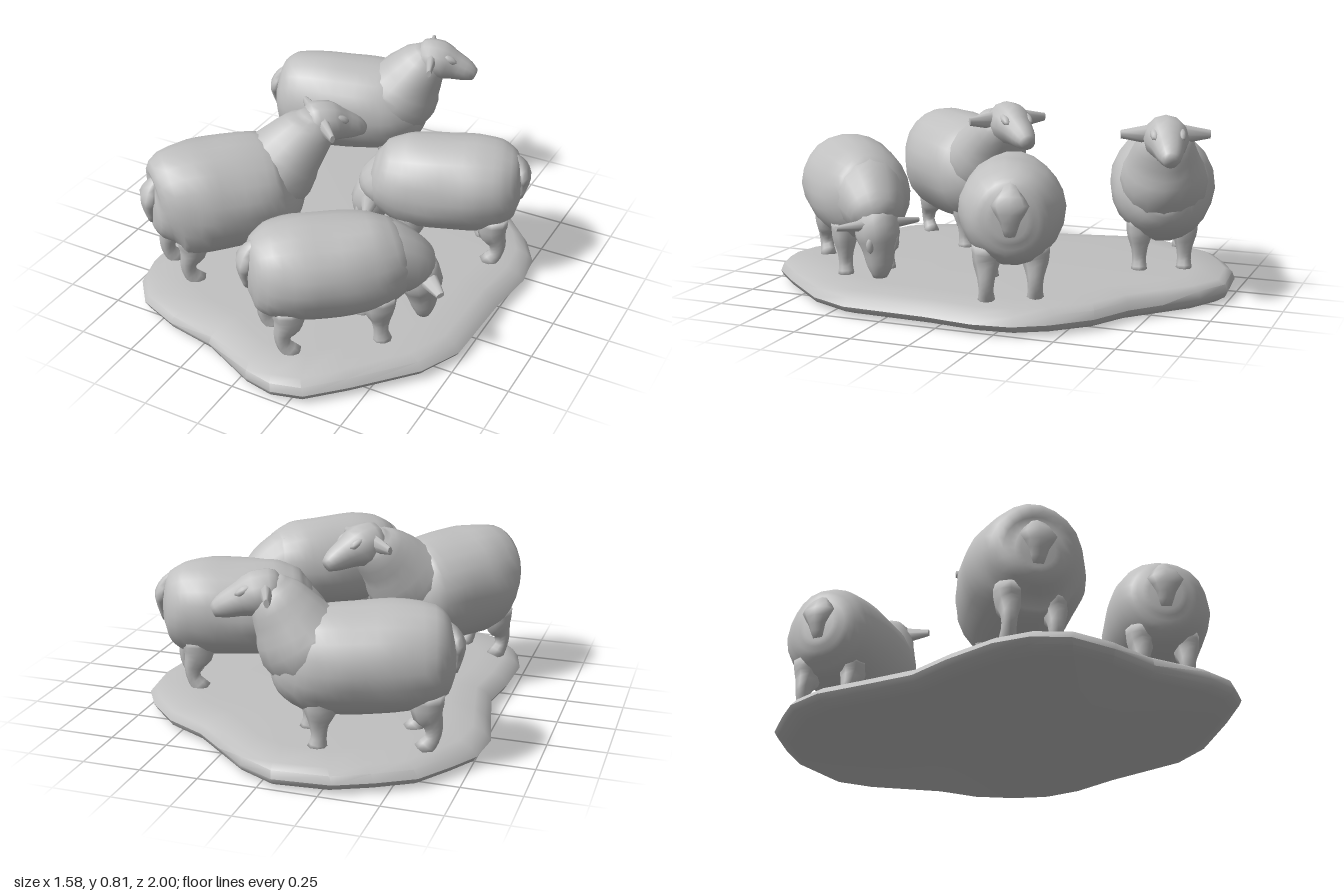
import * as THREE from 'three';
import { toCreasedNormals } from 'three/addons/utils/BufferGeometryUtils.js';

const stone = new THREE.MeshStandardMaterial({ color: 0xc0c0c0 });
stone.name = 'stone grey';

// Joins equal rings of points into a closed skin with a centre point at each end
function skin(rings, start, end) {
  const sides = rings[0].length, n = rings.length, index = [];
  const pos = [...rings.flat(), start, end].flat();
  for (let j = 0; j < sides; j++) {
    const k = (j + 1) % sides, last = (n - 1) * sides;
    for (let i = 0; i < n - 1; i++) {
      const a = i * sides + j, c = i * sides + k;
      index.push(a, a + sides, c, a + sides, c + sides, c);
    }
    index.push(n * sides, j, k, n * sides + 1, last + k, last + j);
  }
  const g = new THREE.BufferGeometry();
  g.setAttribute('position', new THREE.Float32BufferAttribute(pos, 3));
  g.setIndex(index);
  g.computeVertexNormals();
  return g;
}

// Smooth tube of elliptical cross-sections; each point is [x, y, halfWidth, halfHeight]
function loft(points, steps, sides, lump = 0, seed = 0) {
  const path = new THREE.CatmullRomCurve3(points.map(p => new THREE.Vector3(p[0], p[1], 0)));
  const size = new THREE.CatmullRomCurve3(points.map(p => new THREE.Vector3(p[2], p[3], 0)));
  const rings = [];
  for (let i = 0; i <= steps; i++) {
    const t = i / steps, c = path.getPoint(t), s = size.getPoint(t), tan = path.getTangent(t);
    rings.push(Array.from({ length: sides }, (_, j) => {
      const a = j / sides * Math.PI * 2;
      const k = 1 + lump * (Math.sin(3 * a + 9 * t + seed) + Math.sin(5 * a - 17 * t + seed * 2) * 0.7);
      const u = s.y * k * Math.sin(a);
      return [c.x - tan.y * u, c.y + tan.x * u, s.x * k * Math.cos(a)];
    }));
  }
  return skin(rings, path.getPoint(0).toArray(), path.getPoint(1).toArray());
}

function add(parent, name, geometry) {
  const mesh = new THREE.Mesh(geometry, stone);
  mesh.name = name;
  parent.add(mesh);
  return mesh;
}

function makeHead(grazing, turn) {
  const head = new THREE.Group();
  head.name = 'head';
  // skull and muzzle, pointing along +x from the poll
  add(head, 'face', loft([
    [-0.09, 0, 0.03, 0.03], [-0.05, 0, 0.088, 0.088], [0.02, -0.005, 0.095, 0.094],
    [0.09, -0.02, 0.07, 0.07], [0.16, -0.04, 0.052, 0.05], [0.2, -0.055, 0.03, 0.028],
  ], 12, 12));
  for (const side of [-1, 1]) {
    // tapered, flattened ear
    const earShape = new THREE.CylinderGeometry(0.018, 0.044, 0.13, 8);
    earShape.scale(0.6, 1, 1);
    const ear = add(head, 'ear', earShape);
    ear.position.set(-0.015, 0.01, side * 0.122);
    ear.rotation.x = side * Math.PI / 2;
    // brow ridge over each eye
    const brow = add(head, 'brow', new THREE.SphereGeometry(1, 8, 6));
    brow.scale.set(0.04, 0.018, 0.02);
    brow.position.set(0.07, 0.03, side * 0.055);
    brow.rotation.z = -0.4;
  }
  head.rotation.order = 'YZX';
  head.rotation.set(0, turn, grazing ? -1.2 : -0.1);
  return head;
}

function makeSheep({ x, z, dx, dz, back, grazing = false, turn = 0, pull = 0, big = 0, seed }) {
  const sheep = new THREE.Group();
  sheep.name = grazing ? 'grazingSheep' : 'standingSheep';
  sheep.position.set(x, 0, z);
  sheep.rotation.y = Math.atan2(-dz, dx);
  const b = big, lift = big * 0.4;

  // woolly body
  add(sheep, 'body', loft([
    [back, 0.455, 0.07, 0.08], [back + 0.025, 0.455, 0.14, 0.15],
    [back + 0.09, 0.452 + lift, 0.19 + b * 0.6, 0.195 + b],
    [-0.1, 0.447 + lift, 0.218 + b, 0.215 + b], [0.06, 0.442 + lift, 0.218 + b, 0.212 + b],
    [0.2, 0.445, 0.195 + b, 0.2 + b], [0.3, 0.46, 0.145, 0.155], [0.345, 0.47, 0.07, 0.08],
  ], 22, 22, 0.014, seed));

  // neck fleece, rising or reaching down
  add(sheep, 'neck', loft(grazing
    ? [[0.06, 0.46, 0.15, 0.16], [0.2 - pull / 2, 0.45, 0.175, 0.175], [0.31 - pull, 0.42, 0.145, 0.145],
       [0.385 - pull, 0.38, 0.11, 0.11], [0.42 - pull, 0.35, 0.06, 0.06]]
    : [[0.06, 0.45, 0.13, 0.13], [0.21, 0.5, 0.19, 0.195], [0.32 - pull / 2, 0.61, 0.152, 0.15],
       [0.41 - pull, 0.7, 0.115, 0.11], [0.44 - pull, 0.755, 0.06, 0.06]],
  12, 16, 0.012, seed + 2));

  const head = makeHead(grazing, turn);
  if (grazing) head.position.set(0.4 - pull, 0.335, 0);
  else head.position.set(0.455 - pull, 0.715, 0);
  sheep.add(head);

  // tail hanging flat against the rump
  add(sheep, 'tail', loft([
    [back + 0.045, 0.59, 0.025, 0.02], [back + 0.005, 0.55, 0.045, 0.024],
    [back - 0.012, 0.47, 0.045, 0.024], [back + 0.002, 0.39, 0.022, 0.015],
  ], 8, 8));

  // legs flaring into hooves
  for (const front of [false, true]) for (const side of [-1, 1]) {
    const lx = (front ? 0.18 : back + 0.13) + side * 0.02;
    const knee = front ? 0.005 : -0.025;
    const leg = add(sheep, front ? 'frontLeg' : 'backLeg', loft([
      [lx, 0.33, 0.06, 0.07], [lx, 0.26, 0.055, 0.066], [lx + knee, 0.2, 0.036, 0.04],
      [lx + knee, 0.15, 0.03, 0.031], [lx + 0.012, 0.095, 0.037, 0.043],
    ], 10, 8));
    leg.position.z = side * 0.098;
  }
  return sheep;
}

export function createModel() {
  const model = new THREE.Group();
  model.name = 'sheepFlock';

  // irregular ground slab: the outline stacked at [height, scale in x, scale in z]
  const outline = [
    [-0.3, -0.98], [-0.06, -1], [0.1, -0.92], [0.24, -0.8], [0.37, -0.69], [0.55, -0.6], [0.69, -0.46],
    [0.77, -0.33], [0.79, -0.17], [0.76, 0.05], [0.745, 0.42], [0.66, 0.6], [0.45, 0.83], [0.31, 0.965],
    [0.18, 1], [0.05, 0.975], [-0.2, 0.86], [-0.42, 0.82], [-0.6, 0.75], [-0.7, 0.63], [-0.74, 0.48],
    [-0.73, 0.25], [-0.7, 0.05], [-0.75, -0.2], [-0.79, -0.38], [-0.77, -0.55], [-0.7, -0.67],
    [-0.6, -0.82], [-0.45, -0.91],
  ];
  const levels = [[0, 0.9, 0.95], [0.022, 0.98, 0.99], [0.045, 1, 1], [0.078, 0.965, 0.99],
    [0.098, 0.9, 0.96], [0.107, 0.75, 0.82]];
  const slab = skin(levels.map(([y, sx, sz]) => outline.map(p => [p[0] * sx, y, p[1] * sz])),
    [0, 0, 0], [0, 0.107, 0]);
  add(model, 'groundSlab', toCreasedNormals(slab, 0.7));

  // the four animals, facing along (dx, dz)
  model.add(
    makeSheep({ x: -0.31, z: -0.635, dx: 0.955, dz: -0.29, back: -0.37, turn: 0.08, pull: 0.07, big: 0.012, seed: 1 }),
    makeSheep({ x: -0.415, z: 0.37, dx: 0.65, dz: -0.76, back: -0.325, turn: -0.03, big: 0.035, seed: 2 }),
    makeSheep({ x: 0.4, z: -0.195, dx: -0.94, dz: 0.33, back: -0.315, grazing: true, pull: 0.06, seed: 3 }),
    makeSheep({ x: 0.23, z: 0.615, dx: 0.765, dz: -0.645, back: -0.325, grazing: true, turn: 0.18, pull: 0.01, seed: 4 }),
  );
  return model;
}
